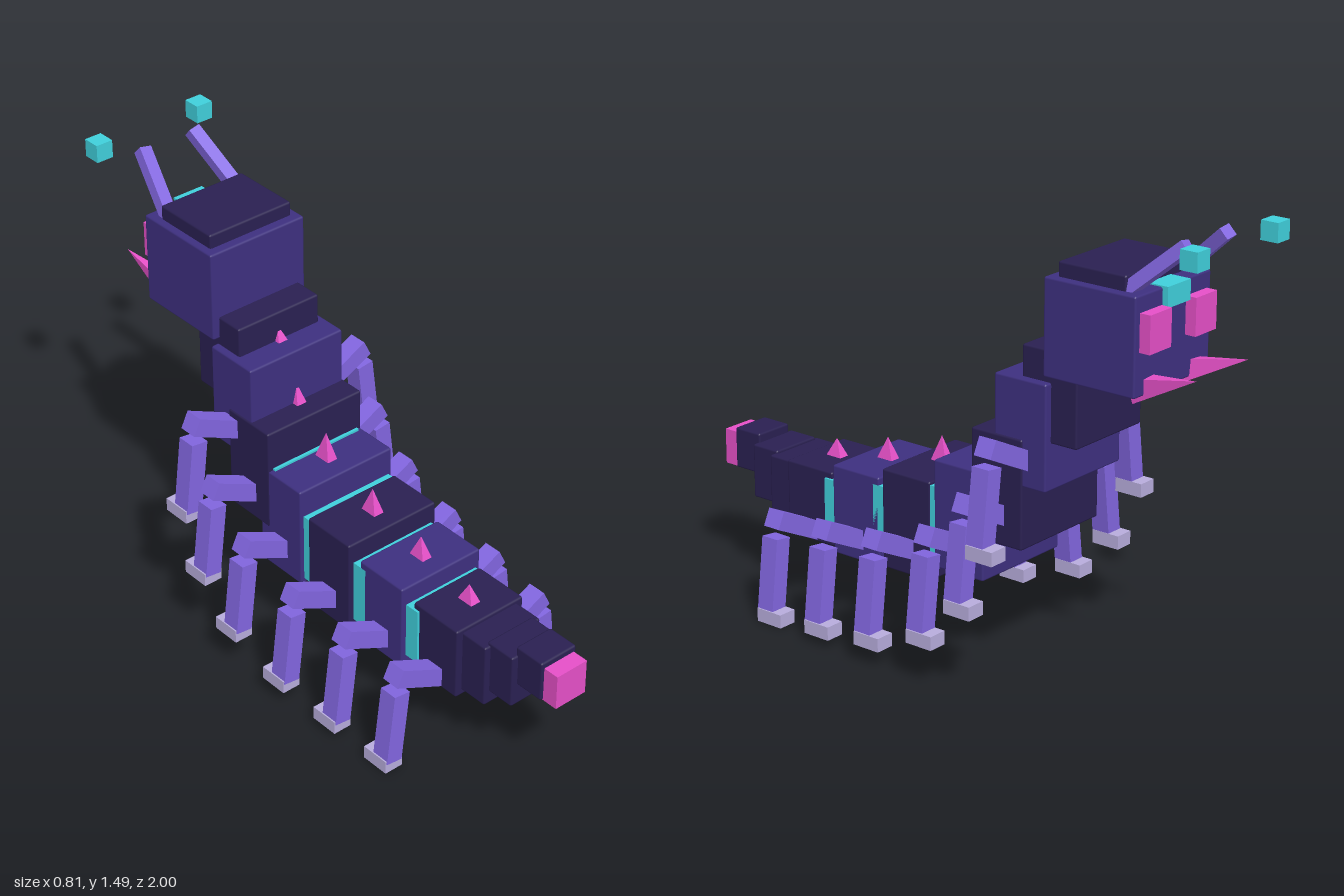
import * as THREE from 'three';
import { RoundedBoxGeometry } from 'three/addons/geometries/RoundedBoxGeometry.js';

const mat = (color) => new THREE.MeshStandardMaterial({ color });
const DARK = mat(0x2a2052), MID = mat(0x3e3080), LIMB = mat(0x8266e0);
const FOOT = mat(0xb8addd), CYAN = mat(0x40d0dc), PINK = mat(0xe650c8);

export function createModel() {
  const root = new THREE.Group();
  root.name = 'caterpillar';

  const add = (name, geometry, material) => {
    const mesh = new THREE.Mesh(geometry, material);
    mesh.name = name;
    root.add(mesh);
    return mesh;
  };

  // Box given by its x, y and z extents, optionally with softened edges
  const block = (name, material, [x0, x1], [y0, y1], [z0, z1], bevel = 0) => {
    const size = [x1 - x0, y1 - y0, z1 - z0];
    const geometry = bevel ? new RoundedBoxGeometry(...size, 1, bevel) : new THREE.BoxGeometry(...size);
    const mesh = add(name, geometry, material);
    mesh.position.set((x0 + x1) / 2, (y0 + y1) / 2, (z0 + z1) / 2);
    return mesh;
  };

  // Square bar running between two points
  const bar = (name, material, a, b, width, depth) => {
    const from = new THREE.Vector3(...a), to = new THREE.Vector3(...b);
    const dir = to.clone().sub(from);
    const mesh = add(name, new THREE.BoxGeometry(width, dir.length(), depth), material);
    mesh.position.copy(from).add(to).multiplyScalar(0.5);
    mesh.quaternion.setFromUnitVectors(new THREE.Vector3(0, 1, 0), dir.normalize());
    return mesh;
  };

  // Four-sided spike with flat faces, base centre at the origin
  const spikeGeometry = (halfX, height, halfZ) => {
    const g = new THREE.ConeGeometry(Math.SQRT2, height, 4, 1).rotateY(Math.PI / 4);
    g.translate(0, height / 2, 0).scale(halfX, 1, halfZ);
    const flat = g.toNonIndexed();
    flat.computeVertexNormals();
    return flat;
  };

  // Body and tail: half width, y range, z range
  const segments = [
    ['tailSegment', DARK, 0.07, [0.365, 0.505], [0.835, 0.945]],
    ['tailSegment', DARK, 0.092, [0.29, 0.475], [0.735, 0.845]],
    ['tailSegment', DARK, 0.112, [0.245, 0.465], [0.64, 0.75]],
    ['bodySegment', DARK, 0.135, [0.225, 0.478], [0.455, 0.65]],
    ['bodySegment', MID, 0.16, [0.22, 0.52], [0.235, 0.43]],
    ['bodySegment', DARK, 0.178, [0.235, 0.565], [0.01, 0.205]],
    ['bodySegment', MID, 0.188, [0.295, 0.65], [-0.21, -0.015]],
    ['bodySegment', DARK, 0.19, [0.435, 0.79], [-0.36, -0.165]],
    ['bodySegment', MID, 0.185, [0.64, 0.98], [-0.445, -0.25]],
    ['neckSegment', DARK, 0.16, [0.79, 1.08], [-0.54, -0.335]],
    ['head', MID, 0.185, [1.003, 1.31], [-0.763, -0.432], 0.008],
    ['headCap', DARK, 0.16, [1.3, 1.357], [-0.71, -0.465]],
  ];
  for (const [name, material, half, y, z] of segments) {
    block(name, material, [-half, half], y, z, 0.007);
  }
  block('tailTip', PINK, [-0.06, 0.06], [0.365, 0.485], [0.93, 1]);

  // Glowing joints between segments
  const joints = [
    [0.143, [0.262, 0.457], [0.425, 0.482]],
    [0.16, [0.275, 0.495], [0.2, 0.26]],
    [0.175, [0.315, 0.555], [-0.02, 0.035]],
    [0.172, [0.41, 0.657], [-0.2, -0.155]],
  ];
  for (const [half, y, z] of joints) block('glowJoint', CYAN, [-half, half], y, z);

  // Back spikes: base y, tip y, z
  const spikes = [
    [0.47, 0.537, 0.555], [0.51, 0.592, 0.335], [0.555, 0.648, 0.11],
    [0.64, 0.742, -0.112], [0.78, 0.86, -0.258], [0.97, 1.03, -0.345],
  ];
  for (const [base, tip, z] of spikes) {
    add('backSpike', spikeGeometry(0.021, tip - base, 0.034), PINK).position.set(0, base, z);
  }

  block('browGem', CYAN, [-0.056, 0.056], [1.25, 1.314], [-0.782, -0.71]);

  // Legs: z, foot bottom y, foot x, body half width
  const legs = [
    [0.555, 0.005, 0.325, 0.135], [0.335, 0.03, 0.342, 0.16], [0.11, 0.06, 0.36, 0.178],
    [-0.112, 0.132, 0.37, 0.188], [-0.262, 0.27, 0.37, 0.19], [-0.348, 0.467, 0.37, 0.185],
  ];
  for (const s of [1, -1]) {
    for (const [z, y, fx, half] of legs) {
      const kneeX = fx - 0.022, kneeY = y + 0.342, hipX = half - 0.03;
      bar('upperLeg', LIMB, [s * hipX, kneeY - (kneeX - hipX) * 0.487, z], [s * kneeX, kneeY, z], 0.06, 0.064);
      bar('lowerLeg', LIMB, [s * (fx - 0.03), y + 0.28, z], [s * fx, y + 0.03, z], 0.06, 0.064);
      block('foot', FOOT, [s * fx - 0.033, s * fx + 0.033], [y, y + 0.045], [z - 0.07, z + 0.03]);
    }

    // Eyes, mandibles and antennae
    block('eye', PINK, [s * 0.112 - 0.052, s * 0.112 + 0.052], [1.14, 1.258], [-0.8, -0.74]);

    const base = new THREE.Vector3(s * 0.11, 1.01, -0.715);
    const dir = new THREE.Vector3(s * 0.13, 1.083, -0.94).sub(base);
    const mandible = add('mandible', spikeGeometry(0.032, dir.length(), 0.038), PINK);
    mandible.position.copy(base);
    mandible.quaternion.setFromUnitVectors(new THREE.Vector3(0, 1, 0), dir.normalize());

    bar('antenna', LIMB, [s * 0.137, 1.31, -0.7], [s * 0.098, 1.462, -0.877], 0.042, 0.04);
    block('antennaBulb', CYAN, [s * 0.198 - 0.03, s * 0.198 + 0.03], [1.433, 1.493], [-1, -0.94]);
  }
  return root;
}
